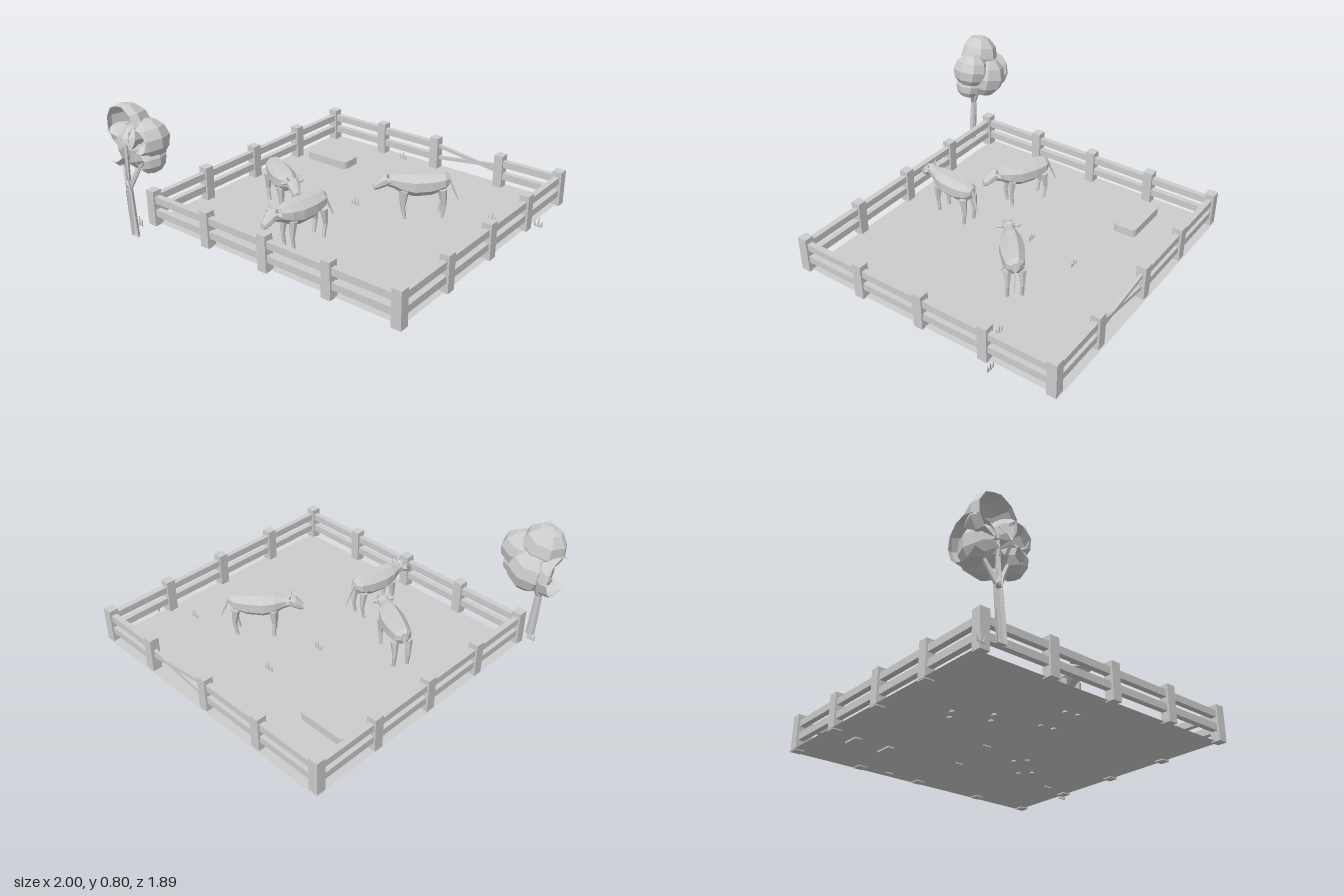
import * as THREE from 'three';

const grey = new THREE.MeshStandardMaterial({ color: 0xcccccc, flatShading: true, side: THREE.DoubleSide });
grey.name = 'plain grey';

const V = (x, y, z) => new THREE.Vector3(x, y, z);

function add(parent, name, geometry, x = 0, y = 0, z = 0) {
  const mesh = new THREE.Mesh(geometry, grey);
  mesh.name = name;
  mesh.position.set(x, y, z);
  parent.add(mesh);
  return mesh;
}

// Tapered limb from point a to point b
function limb(a, b, ra, rb, sides = 6) {
  const dir = b.clone().sub(a);
  const g = new THREE.CylinderGeometry(rb, ra, dir.length(), sides);
  g.applyQuaternion(new THREE.Quaternion().setFromUnitVectors(V(0, 1, 0), dir.normalize()));
  const mid = a.clone().add(b).multiplyScalar(0.5);
  return g.translate(mid.x, mid.y, mid.z);
}

// Skin through oval sections [z, centre y, half width, half height]
function loft(sections, sides = 8) {
  const pos = [], index = [];
  for (const [z, cy, rx, ry] of sections)
    for (let i = 0; i < sides; i++) {
      const a = ((i + 0.5) / sides) * Math.PI * 2;
      pos.push(Math.cos(a) * rx, cy + Math.sin(a) * ry, z);
    }
  for (let s = 0; s < sections.length - 1; s++)
    for (let i = 0; i < sides; i++) {
      const a = s * sides + i, b = s * sides + (i + 1) % sides;
      index.push(a, b, b + sides, a, b + sides, a + sides);
    }
  const last = (sections.length - 1) * sides;
  for (let i = 1; i < sides - 1; i++) index.push(0, i + 1, i, last, last + i, last + i + 1);
  const g = new THREE.BufferGeometry();
  g.setAttribute('position', new THREE.Float32BufferAttribute(pos, 3));
  g.setIndex(index);
  g.computeVertexNormals();
  return g;
}

// Cut a geometry open along the plot limits
function clip(geometry) {
  const src = geometry.index ? geometry.toNonIndexed() : geometry;
  const p = src.attributes.position, out = [];
  const planes = [v => v.x + 1, v => 0.945 - v.z];
  for (let t = 0; t < p.count; t += 3) {
    let poly = [0, 1, 2].map(k => new THREE.Vector3().fromBufferAttribute(p, t + k));
    for (const dist of planes) {
      const next = [];
      poly.forEach((a, i) => {
        const b = poly[(i + 1) % poly.length], da = dist(a), db = dist(b);
        if (da >= 0) next.push(a);
        if (da * db < 0) next.push(a.clone().lerp(b, da / (da - db)));
      });
      poly = next;
    }
    for (let i = 1; i < poly.length - 1; i++)
      for (const v of [poly[0], poly[i], poly[i + 1]]) out.push(v.x, v.y, v.z);
  }
  const g = new THREE.BufferGeometry();
  g.setAttribute('position', new THREE.Float32BufferAttribute(out, 3));
  g.computeVertexNormals();
  return g;
}

function makeCow() {
  const cow = new THREE.Group();
  cow.name = 'cow';
  add(cow, 'body', loft([
    [-0.17, 0.26, 0.025, 0.03], [-0.14, 0.25, 0.055, 0.056], [-0.06, 0.238, 0.07, 0.073],
    [0.04, 0.236, 0.076, 0.076], [0.11, 0.245, 0.062, 0.066], [0.16, 0.255, 0.038, 0.045],
    [0.2, 0.262, 0.03, 0.036],
  ]));
  // Head with ears and horns
  add(cow, 'head', loft([
    [0.175, 0.268, 0.025, 0.025], [0.2, 0.268, 0.038, 0.038], [0.235, 0.255, 0.037, 0.04],
    [0.262, 0.235, 0.027, 0.03], [0.28, 0.225, 0.018, 0.02],
  ]));
  for (const s of [-1, 1]) {
    const ear = add(cow, 'ear', new THREE.SphereGeometry(0.02, 6, 4), s * 0.05, 0.277, 0.195);
    ear.scale.set(1.15, 0.6, 0.7);
    add(cow, 'horn', limb(V(s * 0.022, 0.29, 0.2), V(s * 0.04, 0.318, 0.207), 0.008, 0.003, 5));
    // Legs with hooves
    for (const z of [-0.125, 0.1]) {
      const x = s * 0.042, back = z < 0 ? -0.012 : 0.008;
      add(cow, 'upperLeg', limb(V(x, 0.21, z), V(x, 0.11, z + back), 0.026, 0.014));
      add(cow, 'lowerLeg', limb(V(x, 0.11, z + back), V(x, 0.04, z), 0.013, 0.011));
      add(cow, 'hoof', limb(V(x, 0.018, z + 0.004), V(x, 0.045, z), 0.015, 0.012));
    }
  }
  add(cow, 'tail', limb(V(0, 0.28, -0.162), V(0.006, 0.2, -0.195), 0.008, 0.006, 5));
  add(cow, 'tailTuft', limb(V(0.006, 0.2, -0.195), V(0.012, 0.13, -0.225), 0.007, 0.003, 5));
  return cow;
}

function makeFence() {
  const fence = new THREE.Group();
  fence.name = 'fence';
  const L = -0.83, R = 0.917, B = -0.907, F = 0.787;
  const zs = [B, -0.485, -0.06, 0.367, F];
  const sides = [
    zs.map(z => [L, z]), zs.map(z => [R, z]),
    [L, -0.4, 0.03, 0.515, R].map(x => [x, B]),
    [L, -0.39, 0.045, 0.483, R].map(x => [x, F]),
  ];
  sides.forEach((posts, s) => {
    posts.forEach(([x, z], i) => {
      if (s < 2 || (i > 0 && i < 4))
        add(fence, 'post', new THREE.BoxGeometry(0.06, 0.222, 0.06), x, 0.132, z);
      if (i === 4) return;
      const [x2, z2] = posts[i + 1];
      const broken = s === 2 && i === 2;
      // One bay has slipped, crossing rails
      const rails = broken ? [[0.19, 0.125], [0.1, 0.165]] : [[0.188, 0.188], [0.104, 0.104]];
      for (const [y1, y2] of rails) {
        const len = Math.hypot(x2 - x, z2 - z);
        const size = broken ? [0.02, 0.022] : [0.036, 0.043];
        const rail = add(fence, 'rail', new THREE.BoxGeometry(size[0], size[1], len),
          (x + x2) / 2, (y1 + y2) / 2, (z + z2) / 2);
        rail.lookAt(x2, y2, z2);
      }
    });
  });
  return fence;
}

function makeTree() {
  const tree = new THREE.Group();
  tree.name = 'tree';
  const fork = V(-0.855, 0.29, 0.94);
  add(tree, 'trunk', clip(limb(V(-0.835, 0, 0.95), fork, 0.032, 0.024, 8)));
  const branches = [[-0.85, 0.58, 0.93], [-0.94, 0.47, 0.9], [-0.76, 0.47, 0.9], [-0.83, 0.46, 0.85]];
  for (const b of branches) add(tree, 'branch', clip(limb(fork, V(...b), 0.018, 0.009, 5)));
  const crowns = [
    [-0.86, 0.665, 0.9, 0.138], [-0.735, 0.61, 0.86, 0.118], [-0.84, 0.535, 0.825, 0.14],
    [-0.965, 0.525, 0.86, 0.132], [-0.725, 0.5, 0.87, 0.09],
  ];
  for (const [x, y, z, r] of crowns)
    add(tree, 'foliage', clip(new THREE.SphereGeometry(r, 8, 6).rotateZ(0.25).translate(x, y, z)));
  return tree;
}

function makeTrough() {
  const trough = new THREE.Group();
  trough.name = 'trough';
  const w = 0.163, d = 0.074, r = 0.03, s = new THREE.Shape();
  s.absarc(w - r, d - r, r, 0, Math.PI / 2);
  s.absarc(r - w, d - r, r, Math.PI / 2, Math.PI);
  s.absarc(r - w, r - d, r, Math.PI, Math.PI * 1.5);
  s.absarc(w - r, r - d, r, Math.PI * 1.5, Math.PI * 2);
  const g = new THREE.ExtrudeGeometry(s, { depth: 0.05, bevelEnabled: false, curveSegments: 4 });
  add(trough, 'basin', g.rotateX(-Math.PI / 2), 0, 0.037, 0);
  for (const x of [-0.11, 0.11]) add(trough, 'foot', new THREE.BoxGeometry(0.04, 0.03, 0.11), x, 0.033, 0);
  trough.position.set(-0.565, 0, -0.547);
  return trough;
}

// Three upright pointed blades
function makeTuft() {
  const s = new THREE.Shape();
  for (const [x, h, lean] of [[-0.018, 0.042, -0.008], [0, 0.06, 0.003], [0.018, 0.045, 0.008]]) {
    s.lineTo(x - 0.009, 0);
    s.lineTo(x + lean, h);
    s.lineTo(x + 0.009, 0);
  }
  return new THREE.ExtrudeGeometry(s, { depth: 0.005, bevelEnabled: false });
}

export function createModel() {
  const model = new THREE.Group();
  model.name = 'paddock';
  add(model, 'ground', new THREE.PlaneGeometry(1.79, 1.725).rotateX(-Math.PI / 2), 0.032, 0.028, -0.083);
  model.add(makeFence(), makeTree(), makeTrough());
  const cows = [[0.345, -0.25, -0.85], [-0.38, 0.175, 1.07], [0.005, 0.435, -0.15]];
  for (const [x, z, turn] of cows) {
    const cow = makeCow();
    cow.position.set(x, 0, z);
    cow.rotation.y = turn;
    model.add(cow);
  }
  const tufts = [[-0.21, -0.88], [0.02, -0.46], [0.73, -0.44], [0.97, -0.56], [-0.045, -0.12], [-0.89, 0.86]];
  for (const [x, z] of tufts) add(model, 'grassTuft', makeTuft(), x, 0.02, z);
  return model;
}
